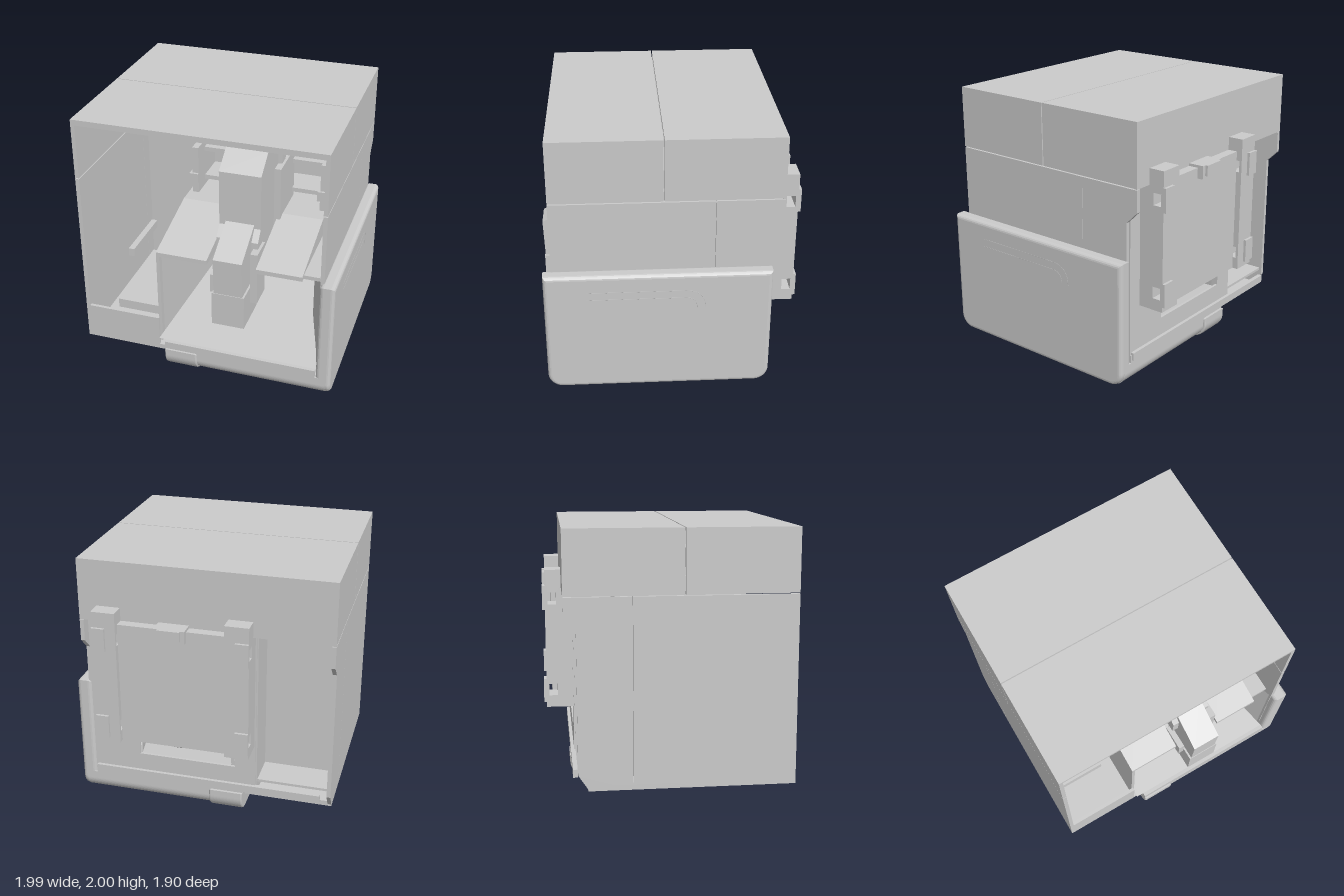
import * as THREE from 'three';

const mat = new THREE.MeshStandardMaterial({ color: 0xcccccc, side: THREE.DoubleSide });

export function createModel() {
  const root = new THREE.Group();

  function add(name, geo) {
    const m = new THREE.Mesh(geo, mat);
    m.name = name;
    root.add(m);
    return m;
  }
  // Box from its extents
  function box(name, x0, x1, y0, y1, z0, z1) {
    const g = new THREE.BoxGeometry(x1 - x0, y1 - y0, z1 - z0);
    g.translate((x0 + x1) / 2, (y0 + y1) / 2, (z0 + z1) / 2);
    return add(name, g);
  }
  // Outline in (z, y) swept along x
  function sweepX(name, shape, x0, x1, bevel = 0) {
    const g = new THREE.ExtrudeGeometry(shape, {
      depth: x1 - x0 - 2 * bevel, bevelEnabled: bevel > 0, bevelSize: bevel,
      bevelOffset: -bevel, bevelThickness: bevel, bevelSegments: 4, curveSegments: 10,
    });
    g.translate(0, 0, bevel);
    g.rotateY(-Math.PI / 2); // shape x -> z, depth -> -x
    g.translate(x1, 0, 0);
    return add(name, g);
  }
  const poly = (pts) => new THREE.Shape(pts.map(([a, b]) => new THREE.Vector2(a, b)));
  // Outline with rounded lower corners
  function tubShape(z0, z1, y0, y1, r) {
    const s = new THREE.Shape();
    s.moveTo(z0, y1);
    s.lineTo(z0, y0 + r);
    s.absarc(z0 + r, y0 + r, r, Math.PI, 1.5 * Math.PI, false);
    s.lineTo(z1 - r, y0);
    s.absarc(z1 - r, y0 + r, r, 1.5 * Math.PI, 2 * Math.PI, false);
    s.lineTo(z1, y1);
    s.closePath();
    return s;
  }
  // Flat panel facing z with rectangular holes [x0, x1, y0, y1]
  function panelZ(name, pts, z0, z1, holes = []) {
    const s = poly(pts);
    for (const [a, b, c, d] of holes)
      s.holes.push(new THREE.Path([[a, c], [a, d], [b, d], [b, c]].map((p) => new THREE.Vector2(...p))));
    const g = new THREE.ExtrudeGeometry(s, { depth: z1 - z0, bevelEnabled: false });
    g.translate(0, 0, z0);
    return add(name, g);
  }
  // Quad sheet from four corners
  function sheet(name, ...c) {
    const g = new THREE.BufferGeometry();
    g.setAttribute('position', new THREE.Float32BufferAttribute(c.flat(), 3));
    g.setIndex([0, 1, 2, 0, 2, 3]);
    g.computeVertexNormals();
    return add(name, g);
  }

  // Upper housing: roof and side panels split by narrow seams
  for (const [z0, z1] of [[-0.81, 0.045], [0.053, 0.87]]) {
    box('roofPanel', -1, 0.9, 1.975, 2, z0, z1);
    for (const x of [-1, 0.87]) box('upperSidePanel', x, x + 0.03, 1.533, 1.98, z0, z1);
  }
  for (const [x, yb] of [[-1, 0.12], [0.87, 0.24]]) {
    sweepX('lowerSideFront', poly([[-0.32, yb], [0.87, yb], [0.87, 1.525], [-0.32, 1.525]]), x, x + 0.03);
    sweepX('lowerSideRear', poly([[-0.323, yb], [-0.323, 1.525], [-0.81, 1.525], [-0.81, 1.36],
      [-0.72, 1.27], [-0.72, yb + 0.12], [-0.64, yb]]), x, x + 0.03);
  }
  box('rearBand', -1, 0.9, 1.53, 1.98, -0.81, -0.79);
  box('rearBandUnderside', -0.97, 0.87, 1.53, 1.55, -0.8, -0.42);
  box('frontHeader', -0.97, 0.87, 1.955, 1.985, 0.84, 0.865);

  // Left compartment
  panelZ('leftRearPanel', [[-0.963, 0.16], [-0.42, 0.16], [-0.42, 1.39], [-0.46, 1.39], [-0.46, 1.53],
    [-0.87, 1.53], [-0.87, 1.43], [-0.963, 1.43]], -0.44, -0.42);
  box('dividerWall', -0.43, -0.4, 0.2, 1.53, -0.72, -0.42);
  box('leftFrontSkirt', -1, -0.39, 0.12, 0.405, 0.845, 0.87);
  box('leftFloor', -1, -0.3, 0.12, 0.16, -0.65, 0.87);
  box('wallBracket', -0.97, -0.92, 0.41, 0.48, -0.42, 0.1);
  box('leftRearLedge', -0.97, -0.42, 0.28, 0.3, -0.7, -0.43);
  box('electronicsTray', -0.9, -0.5, 0.16, 0.24, -0.2, 0.5);

  // Back frame with window below the rear plate
  panelZ('rearFrame', [[-0.42, 0.2], [0.87, 0.2], [0.87, 1.53], [-0.42, 1.53]], -0.73, -0.71,
    [[-0.26, 0.5, 0.4, 0.95]]);
  box('rearBottomRail', -0.92, 0.86, 0.2, 0.26, -0.755, -0.72);

  // Rear mounting plate, posts with pads and side sockets
  box('rearPlate', -0.23, 0.58, 0.6, 1.55, -0.885, -0.72);
  for (const x of [-0.41, 0.58]) {
    const post = poly([[-0.72, 0.6], [-0.72, 1.53], [-0.805, 1.53], [-0.805, 1.65], [-0.93, 1.65], [-0.93, 0.6]]);
    for (const y of [0.69, 1.39])
      post.holes.push(new THREE.Path([[-0.91, y], [-0.845, y], [-0.845, y + 0.09], [-0.91, y + 0.09]]
        .map((p) => new THREE.Vector2(...p))));
    sweepX('rearPost', post, x, x + 0.18);
    for (const y of [0.64, 1.35])
      panelZ('postPad', [[x < 0 ? x : x + 0.08, y], [x < 0 ? x + 0.1 : x + 0.18, y],
        [x < 0 ? x + 0.1 : x + 0.18, y + 0.18], [x < 0 ? x : x + 0.08, y + 0.18]], -0.95, -0.925);
  }
  box('rearLatchBase', 0.06, 0.29, 1.47, 1.57, -0.93, -0.81);
  box('rearLatch', 0.09, 0.26, 1.49, 1.57, -0.95, -0.92);

  // Lower tub, tall side cover and wrap-around rib
  sweepX('lowerTub', tubShape(-0.74, 0.93, 0.02, 0.18, 0.1), -0.07, 0.95);
  sweepX('sideCover', tubShape(-0.74, 0.93, 0.02, 0.985, 0.11), 0.875, 0.99, 0.03);
  sweepX('bottomRib', tubShape(-0.76, 0.945, 0, 0.18, 0.13), -0.32, -0.06, 0.012);
  box('tubFrontLip', -0.32, 0.87, 0.18, 0.24, 0.9, 0.93);
  box('tubRearLip', -0.32, 0.87, 0.18, 0.24, -0.74, -0.71);
  box('bottomHatch', 0.1, 0.75, 0.012, 0.03, -0.45, 0.6);
  for (const x of [-0.85, -0.5]) box('baseGripBar', x, x + 0.02, 0.108, 0.125, 0.2, 0.6);
  for (const z of [0.2, 0.58]) box('baseGripBar', -0.85, -0.48, 0.108, 0.125, z, z + 0.02);

  // Thin trim lines on the side cover
  for (const [y, r] of [[0.85, 0.15], [0.79, 0.09]]) {
    const path = new THREE.CurvePath();
    path.add(new THREE.LineCurve3(new THREE.Vector3(0.989, y, 0.62), new THREE.Vector3(0.989, y, -0.1)));
    path.add(new THREE.QuadraticBezierCurve3(new THREE.Vector3(0.989, y, -0.1),
      new THREE.Vector3(0.989, y, -0.1 - r), new THREE.Vector3(0.989, y - r, -0.1 - r)));
    add('coverTrim', new THREE.TubeGeometry(path, 40, 0.003, 4));
  }

  // Work chamber: left column, sloping floor and angled right wall
  box('chamberLeftWall', -0.4, -0.375, 0.18, 0.95, -0.71, 0.84);
  sheet('chamberLeftSlope', [-0.38, 0.24, 0.84], [-0.22, 0.24, -0.7], [-0.22, 0.94, -0.7], [-0.38, 0.94, 0.84]);
  sheet('chamberFloor', [-0.38, 0.24, 0.9], [0.87, 0.24, 0.9], [0.5, 0.4, -0.71], [-0.22, 0.4, -0.71]);
  sheet('chamberRightFront', [0.87, 0.2, 0.85], [0.7, 0.24, 0.3], [0.7, 0.95, 0.3], [0.87, 0.95, 0.85]);
  sheet('chamberRightRear', [0.7, 0.24, 0.3], [0.49, 0.36, -0.71], [0.49, 0.95, -0.71], [0.7, 0.95, 0.3]);
  box('floorRail', -0.2, 0.06, 0.26, 0.285, 0.3, 0.34);

  // Sloping chamber covers on both sides of the head
  const slope = poly([[0.84, 0.95], [0.84, 0.985], [0.23, 1.13], [-0.3, 1.13], [-0.3, 0.95]]);
  sweepX('chamberCoverLeft', slope, -0.4, 0.0);
  sweepX('chamberCoverRight', slope, 0.38, 0.73);
  box('rightInnerFlange', 0.73, 0.87, 0.95, 0.98, -0.7, 0.8);

  // Gantry frame and rails
  box('gantryBack', -0.42, 0.8, 1.13, 1.5, -0.4, -0.3);
  box('gantryTopBeam', -0.38, 0.78, 1.47, 1.53, -0.3, -0.1);
  for (const y of [1.18, 1.43]) box('gantryRail', -0.33, 0.66, y, y + 0.035, -0.3, -0.05);
  for (const x of [-0.37, 0.67]) {
    box('gantryEndPlate', x, x + 0.05, 1.13, 1.52, -0.3, 0.1);
    box('railStop', x - 0.02, x + 0.05, 1.22, 1.3, 0.0, 0.12);
  }
  box('rightInnerPost', 0.78, 0.81, 0.98, 1.53, -0.7, -0.3);
  box('headCarriage', -0.02, 0.41, 0.96, 1.54, -0.1, 0.3);

  // Spindle head: tall body, sloped transition and slim nose
  sweepX('headBody', poly([[0.2, 1.2], [0.65, 1.2], [0.65, 1.64], [0.48, 1.76], [0.2, 1.76]]), 0.04, 0.36);
  sweepX('headNeck', poly([[0.3, 0.79], [0.945, 0.79], [0.955, 1.08], [0.65, 1.24], [0.3, 1.24]]), 0.09, 0.31);
  for (const x of [0.04, 0.31])
    sweepX('neckShoulder', poly([[0.3, 0.98], [0.72, 0.98], [0.72, 1.13], [0.65, 1.21], [0.3, 1.21]]), x, x + 0.05);
  sweepX('headNose', poly([[0.62, 0.52], [0.95, 0.52], [0.95, 0.79], [0.62, 0.79]]), 0.075, 0.325);
  box('noseSideArm', 0.325, 0.38, 0.66, 1.08, 0.6, 0.8);
  box('noseSideTab', 0.03, 0.075, 0.73, 0.88, 0.65, 0.85);
  box('headCap', 0.12, 0.29, 1.76, 1.78, 0.25, 0.45);
  box('cableTab', 0.35, 0.39, 1.5, 1.81, 0.1, 0.2);

  // Round ribbed unit hanging over the chamber floor
  const profile = [[0, 0.3], [0.14, 0.3], [0.14, 0.38]];
  for (let i = 0; i <= 10; i++) {
    const a = -0.88 + i * 0.21;
    profile.push([0.285 * Math.cos(a), 0.6 + 0.285 * Math.sin(a)]);
  }
  profile.push([0.28, 0.96], [0, 0.96]);
  const bulb = add('roundUnit', new THREE.LatheGeometry(profile.map((p) => new THREE.Vector2(...p)), 32));
  bulb.position.set(0.245, 0, -0.36);

  return root;
}
